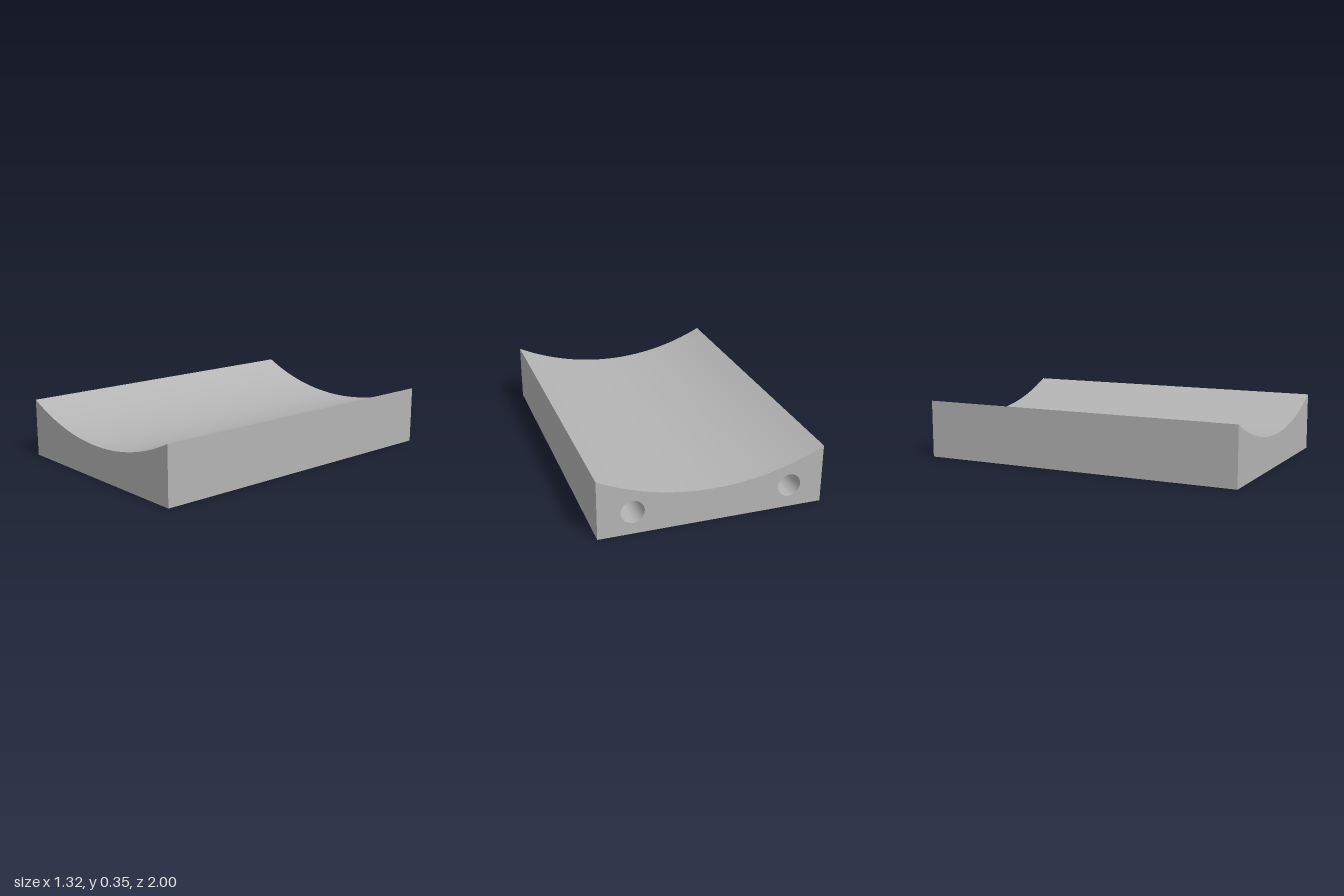
import * as THREE from 'three';
import { mergeGeometries, toCreasedNormals } from 'three/addons/utils/BufferGeometryUtils.js';

const HALF_W = 0.66, EDGE_H = 0.352, MID_H = 0.197, HALF_L = 1;
const HOLE = { x: 0.46, y: 0.135, r: 0.068, depth: 0.5 };
const SEG = 48;

// End outline: flat base and sides, concave circular top
function profile(withHoles) {
  const sag = EDGE_H - MID_H;
  const radius = (HALF_W ** 2 + sag ** 2) / (2 * sag);
  const half = Math.asin(HALF_W / radius);
  const shape = new THREE.Shape();
  shape.moveTo(-HALF_W, 0);
  shape.lineTo(HALF_W, 0);
  shape.lineTo(HALF_W, EDGE_H);
  shape.absarc(0, MID_H + radius, radius, -Math.PI / 2 + half, -Math.PI / 2 - half, true);
  shape.closePath();
  if (withHoles) {
    for (const s of [-1, 1]) {
      shape.holes.push(new THREE.Path().absarc(s * HOLE.x, HOLE.y, HOLE.r, 0, Math.PI * 2, true));
    }
  }
  return shape;
}

// Long walls only: the side group of an extrusion, without its end caps
function walls() {
  const full = new THREE.ExtrudeGeometry(profile(false), {
    depth: HALF_L * 2, bevelEnabled: false, curveSegments: SEG,
  }).translate(0, 0, -HALF_L);
  const { start, count } = full.groups.find((g) => g.materialIndex === 1);
  const geo = new THREE.BufferGeometry();
  const pos = full.attributes.position.array.slice(start * 3, (start + count) * 3);
  geo.setAttribute('position', new THREE.BufferAttribute(pos, 3));
  return toCreasedNormals(geo, 0.5);
}

export function createModel() {
  const model = new THREE.Group();
  model.name = 'cradleBlock';
  const grey = new THREE.MeshStandardMaterial({ color: 0xb4b4b4 });
  grey.name = 'grey';

  const add = (name, geo) => {
    const mesh = new THREE.Mesh(geo, grey);
    mesh.name = name;
    model.add(mesh);
  };

  add('body', walls());
  add('frontFace', new THREE.ShapeGeometry(profile(false), SEG).translate(0, 0, HALF_L));
  add('backFace', new THREE.ShapeGeometry(profile(true), SEG).rotateY(Math.PI).translate(0, 0, -HALF_L));

  // Blind holes in the back face: inward-facing bore and flat floor
  for (const s of [-1, 1]) {
    const bore = new THREE.CylinderGeometry(HOLE.r, HOLE.r, HOLE.depth, SEG, 1, true)
      .rotateX(Math.PI / 2).scale(-1, 1, 1).toNonIndexed();
    // Mirroring keeps the corner order, so the wall now faces the axis
    const floor = new THREE.CircleGeometry(HOLE.r, SEG)
      .rotateY(Math.PI).translate(0, 0, HOLE.depth / 2).toNonIndexed();
    const hole = toCreasedNormals(mergeGeometries([bore, floor]), 0.5);
    add(s > 0 ? 'leftHole' : 'rightHole',
      hole.translate(s * HOLE.x, HOLE.y, -HALF_L + HOLE.depth / 2));
  }
  return model;
}
